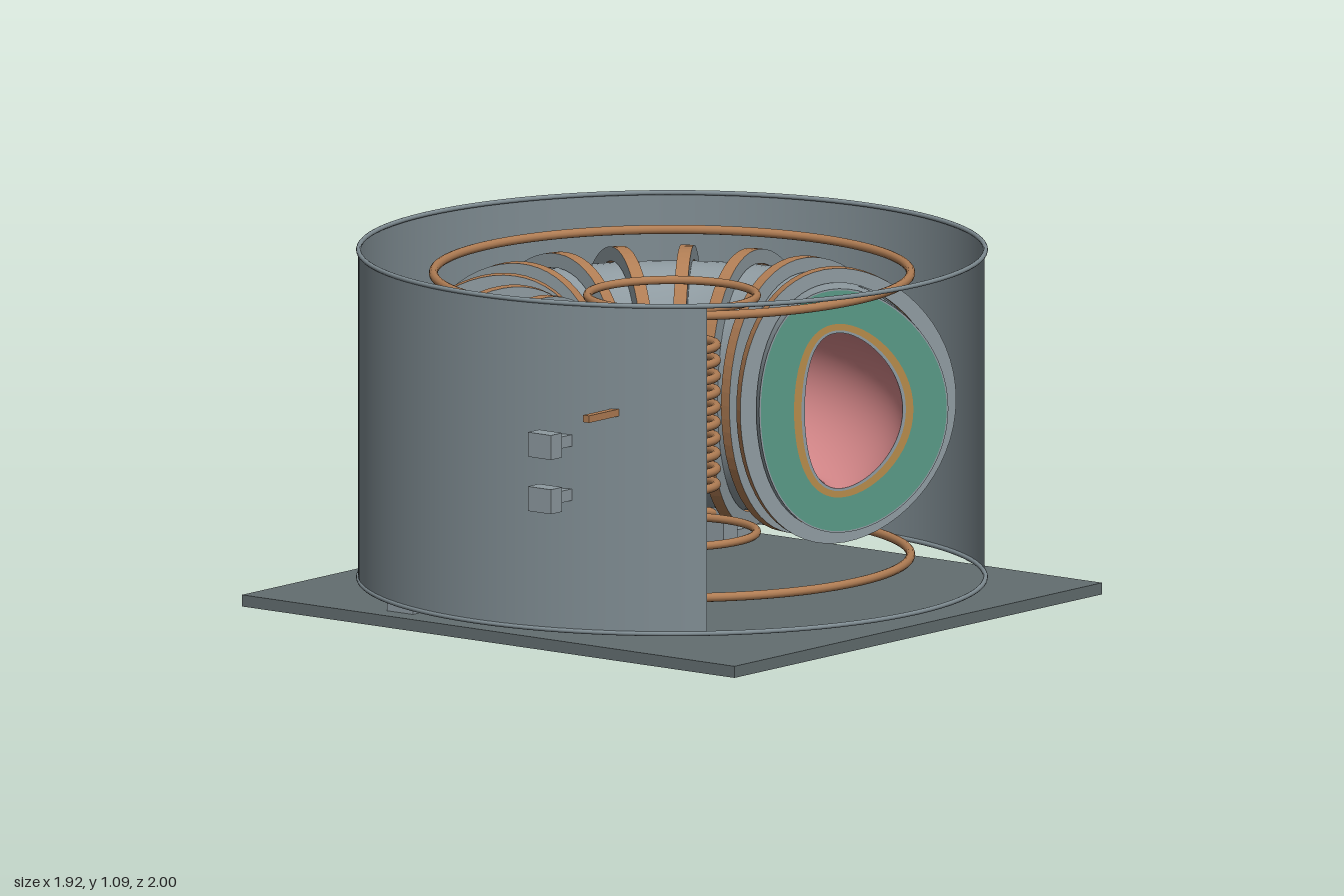
import * as THREE from 'three';

const CZ = -0.035;          // machine axis in z
const MID = 0.577;          // mid-plane height
const CUT = Math.PI / 4;    // half angle of the open wedge, around +x

const mat = (name, color, side = THREE.FrontSide) => {
  const m = new THREE.MeshStandardMaterial({ color, side });
  m.name = name;
  return m;
};

// D-shaped cross-section in (radius, height); the crown leans towards the axis
function dProfile(a, k, lean = 0.045, center = 0.557, n = 64) {
  const delta = Math.asin(lean / a), pts = [];
  for (let i = 0; i <= n; i++) {
    const t = Math.PI + (i / n) * Math.PI * 2;
    pts.push(new THREE.Vector2(center + a * Math.cos(t + delta * Math.sin(t)), MID + k * Math.sin(t)));
  }
  return pts;
}

function dRing(outer, inner) {
  const shape = new THREE.Shape(dProfile(...outer).slice(0, -1));
  shape.holes.push(new THREE.Path(dProfile(...inner).slice(0, -1).reverse()));
  return shape;
}

export function createModel() {
  const root = new THREE.Group();
  root.name = 'fusionReactor';
  const machine = new THREE.Group();
  machine.name = 'machine';
  machine.position.z = CZ;
  root.add(machine);

  const steel = mat('steel', 0x8e9aa0, THREE.DoubleSide);
  const wallGrey = mat('wall grey', 0x7f8c92, THREE.DoubleSide);
  const baseGrey = mat('base grey', 0x636e70);
  const copper = mat('copper', 0xb07d54);
  const green = mat('blanket green', 0x589885, THREE.DoubleSide);
  const brass = mat('brass', 0xb58a4a, THREE.DoubleSide);
  const pink = mat('plasma pink', 0xd98a8c, THREE.DoubleSide);

  const add = (name, geo, material, x = 0, y = 0, z = 0) => {
    const mesh = new THREE.Mesh(geo, material);
    mesh.name = name;
    mesh.position.set(x, y, z);
    machine.add(mesh);
    return mesh;
  };
  const box = (name, w, h, d, material, x, y, z) =>
    add(name, new THREE.BoxGeometry(w, h, d), material, x, y, z);
  const hoop = (name, R, tube, y, material) => {
    const g = new THREE.TorusGeometry(R, tube, 12, 96);
    g.rotateX(Math.PI / 2);
    return add(name, g, material, 0, y, 0);
  };

  // Base plate, cryostat feet and inner vessel posts
  box('basePlate', 1.92, 0.036, 1.794, baseGrey, 0, 0.018, 0);
  for (const deg of [117, 180, 243]) {
    const c = Math.cos(deg * Math.PI / 180), s = Math.sin(deg * Math.PI / 180);
    box('cryostatFoot', 0.1, 0.034, 0.1, steel, 0.875 * c, 0.053, 0.875 * s);
    box('vesselPost', 0.07, 0.26, 0.07, steel, 0.748 * c, 0.166, 0.748 * s);
  }

  // Cryostat wall with an open wedge, and its full rim hoops
  add('cryostatWall',
    new THREE.CylinderGeometry(0.957, 0.957, 1.015, 96, 1, true, Math.PI / 2 + CUT, Math.PI * 2 - 2 * CUT),
    wallGrey, 0, 0.58, 0);
  for (const y of [0.073, 1.087]) hoop('rimHoop', 0.955, 0.0075, y, wallGrey);

  // Vessel: outer shell, inner plasma-facing surface
  const sweep = (pts) => new THREE.LatheGeometry(pts, 96, Math.PI / 2 + CUT, Math.PI * 2 - 2 * CUT);
  const layers = [[0.29, 0.378], [0.285, 0.373], [0.183, 0.269], [0.16, 0.249], [0.15, 0.241]];
  add('vesselShell', sweep(dProfile(...layers[0])), steel);
  add('plasmaChannel', sweep(dProfile(...layers[4]).reverse()), pink);

  // Layered faces at both cut ends
  const cutNames = ['shellEdge', 'blanketFace', 'brassLinerFace', 'steelLinerFace'];
  [steel, green, brass, steel].forEach((m, i) => {
    const face = new THREE.ShapeGeometry(dRing(layers[i], layers[i + 1]));
    for (const s of [-1, 1]) add(cutNames[i], face, m).rotation.y = s * CUT;
  });

  // Toroidal field coils: steel sides, copper rims
  const coilGeo = new THREE.ExtrudeGeometry(dRing([0.345, 0.426], [0.294, 0.382]),
    { depth: 0.04, bevelEnabled: false });
  coilGeo.translate(0, 0, -0.02);
  for (let i = 0; i < 12; i++) {
    const coil = add('toroidalCoil', coilGeo, [steel, copper]);
    coil.rotation.y = -(56.25 + i * 22.5) * Math.PI / 180;
  }

  // Poloidal field hoops and the central solenoid
  for (const y of [0.142, 1.015]) hoop('outerPoloidalCoil', 0.727, 0.014, y, copper);
  for (const y of [0.213, 0.945]) hoop('innerPoloidalCoil', 0.258, 0.013, y, copper);
  for (let i = 0; i < 10; i++) hoop('solenoidTurn', 0.135, 0.014, 0.36 + i * 0.048, copper);

  // Ports and the copper feed rod through the front wall
  for (const y of [0.495, 0.663]) {
    box('portStem', 0.036, 0.036, 0.24, steel, 0.31, y, 0.865);
    box('portFlange', 0.09, 0.076, 0.055, steel, 0.31, y, 1.0075);
  }
  box('feedRod', 0.022, 0.022, 0.26, copper, 0.452, 0.756, 0.855);

  return root;
}
